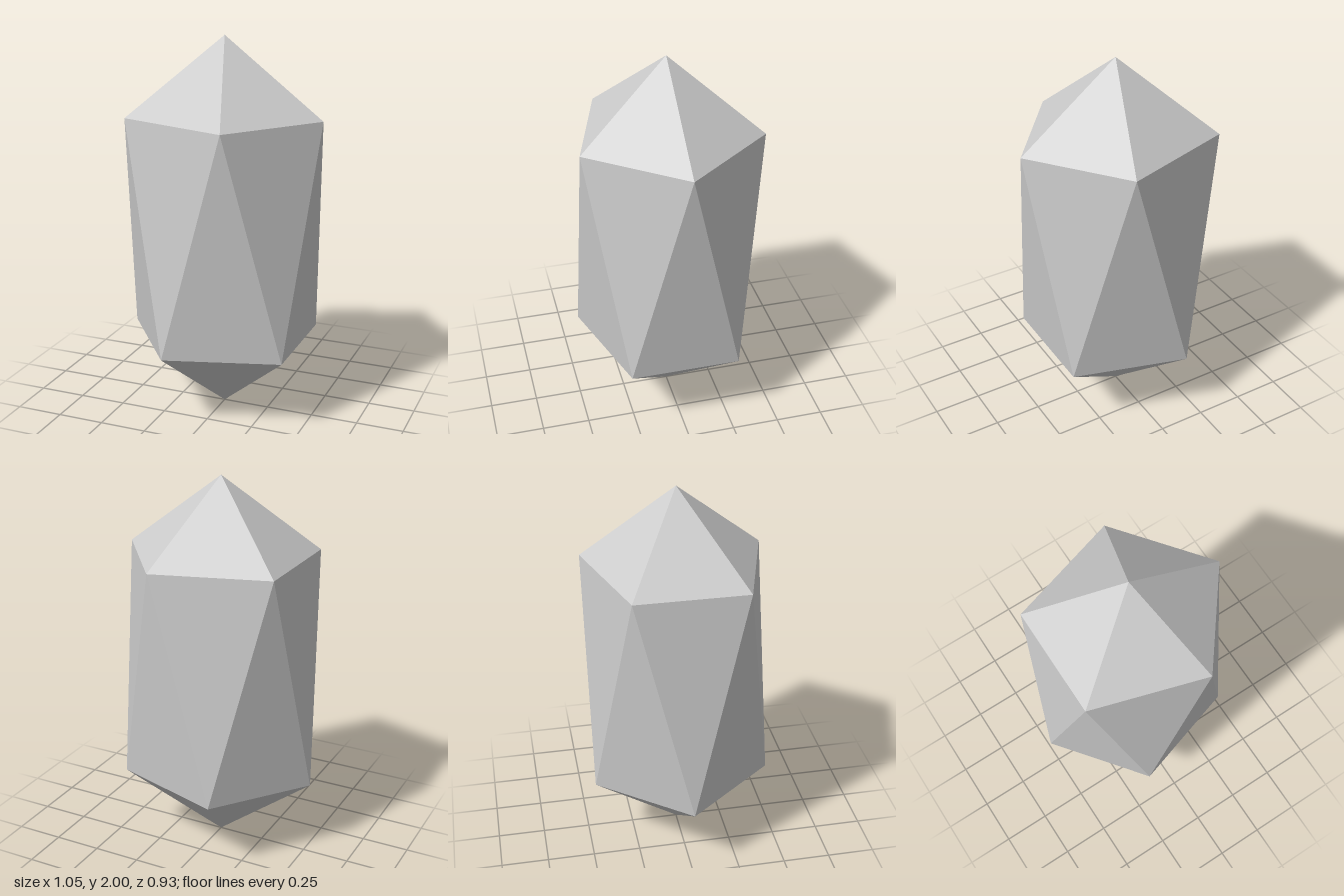
import * as THREE from 'three';

const SIDES = 5, RX = 0.525, RZ = 0.49;

// Five-sided ring, slightly flattened in z; turn is in steps of one side
function ring(y, turn) {
  return Array.from({ length: SIDES }, (_, i) => {
    const a = ((i + turn) / SIDES) * Math.PI * 2;
    return new THREE.Vector3(RX * Math.cos(a), y, RZ * Math.sin(a));
  });
}

export function createModel() {
  const group = new THREE.Group();
  group.name = 'crystal';

  const apex = new THREE.Vector3(0, 2, 0);
  const base = new THREE.Vector3(0, 0, 0);
  const upper = ring(1.6, 0);
  const lower = ring(0.4, 0.5);

  // Pointed cap, twisted belt of long triangles, pointed foot
  const corners = [];
  for (let i = 0; i < SIDES; i++) {
    const j = (i + 1) % SIDES;
    corners.push(upper[i], apex, upper[j]);
    corners.push(upper[i], upper[j], lower[i]);
    corners.push(lower[i], upper[j], lower[j]);
    corners.push(lower[i], lower[j], base);
  }
  const geometry = new THREE.BufferGeometry().setFromPoints(corners);
  geometry.computeVertexNormals();

  const gem = new THREE.Mesh(
    geometry,
    new THREE.MeshStandardMaterial({ color: 0xcccccc, flatShading: true })
  );
  gem.name = 'crystalBody';
  group.add(gem);
  return group;
}
